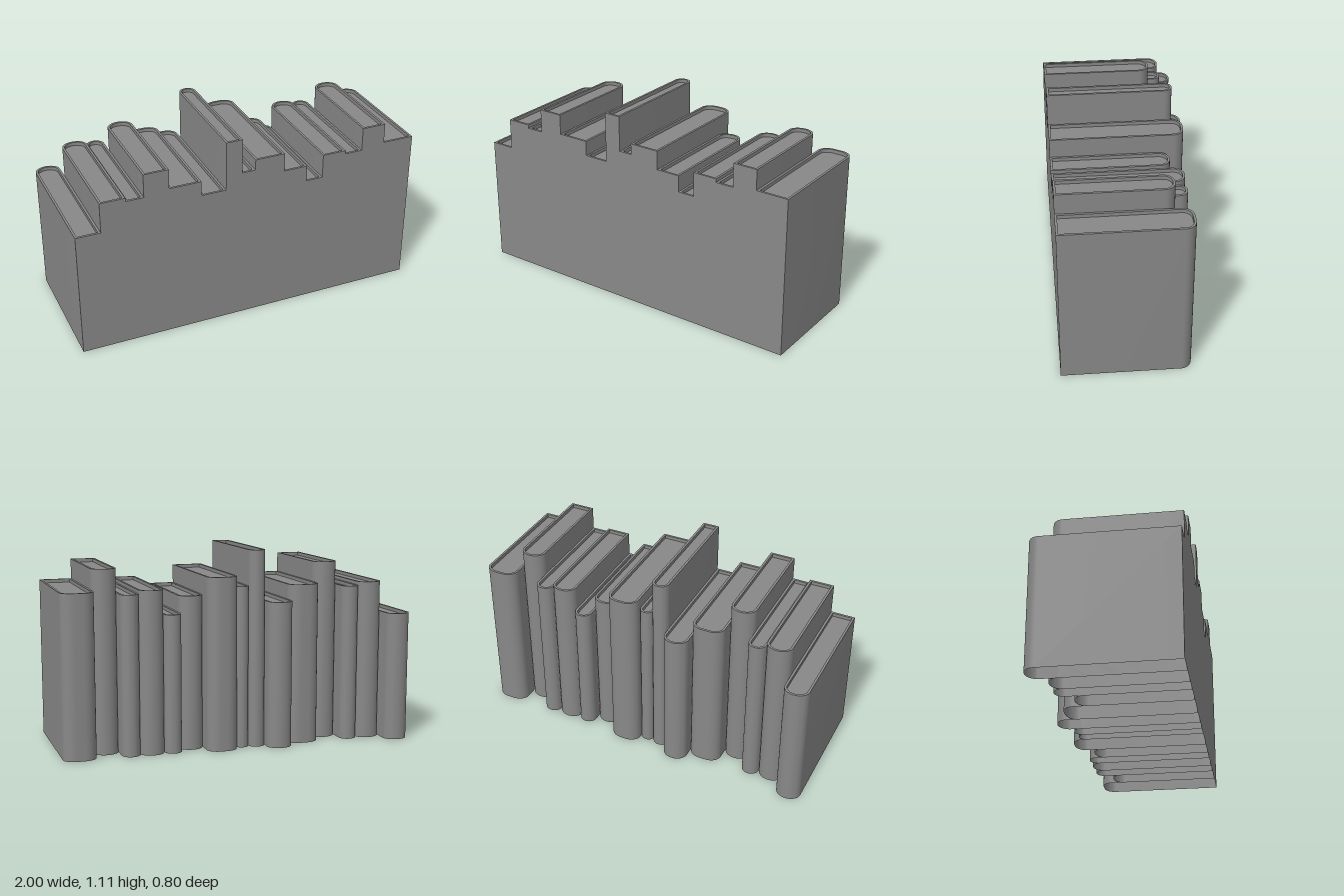
import * as THREE from 'three';
import { toCreasedNormals } from 'three/addons/utils/BufferGeometryUtils.js';

const FRONT = 0.4, RIM = 0.013, RECESS = 0.02, ARC = 10;

// Each book: right-hand edge x, height, z of the rounded spine
const BOOKS = [
  [-0.86, 0.737, -0.4], [-0.718, 0.913, -0.305], [-0.617, 0.893, -0.305],
  [-0.475, 1.028, -0.22], [-0.292, 0.913, -0.305], [-0.15, 0.828, -0.376],
  [-0.055, 1.114, -0.305], [0.022, 0.913, -0.295], [0.197, 0.975, -0.344],
  [0.335, 0.868, -0.255], [0.433, 0.775, -0.305], [0.572, 0.913, -0.305],
  [0.675, 0.893, -0.305], [0.815, 1.028, -0.22], [1, 0.913, -0.305],
];

// Plan of a book (x, -z), counter-clockwise, with the spine corners rounded
function outline(x0, x1, spineZ, inset) {
  const rx = Math.min(0.07, (x1 - x0) / 2 - 0.001), rz = Math.min(0.06, rx);
  const pts = [new THREE.Vector2(x0 + inset, -FRONT + inset), new THREE.Vector2(x1 - inset, -FRONT + inset)];
  for (const [cx, start] of [[x1 - rx, 0], [x0 + rx, Math.PI / 2]]) {
    for (let i = 0; i <= ARC; i++) {
      const a = start + (i / ARC) * Math.PI / 2;
      pts.push(new THREE.Vector2(cx + (rx - inset) * Math.cos(a), -spineZ - rz + (rz - inset) * Math.sin(a)));
    }
  }
  return pts;
}

// Joins successive rings { pts, y } with quads
function loft(rings) {
  const pos = [];
  const put = (ring, i) => pos.push(ring.pts[i].x, ring.y, -ring.pts[i].y);
  for (let k = 0; k < rings.length - 1; k++) {
    const a = rings[k], b = rings[k + 1], n = a.pts.length;
    for (let i = 0; i < n; i++) {
      const j = (i + 1) % n;
      put(a, i); put(a, j); put(b, j);
      put(a, i); put(b, j); put(b, i);
    }
  }
  const g = new THREE.BufferGeometry();
  g.setAttribute('position', new THREE.Float32BufferAttribute(pos, 3));
  return toCreasedNormals(g, Math.PI / 6);
}

export function createModel() {
  const group = new THREE.Group();
  group.name = 'bookRow';
  const material = new THREE.MeshStandardMaterial({ color: 0x888888, side: THREE.DoubleSide });

  let x0 = -1;
  BOOKS.forEach(([x1, height, spineZ], i) => {
    const book = new THREE.Group();
    book.name = `book${i + 1}`;
    const outer = outline(x0, x1, spineZ, 0);
    const inner = outline(x0, x1, spineZ, RIM);

    // Hollow cover, open below: outer wall, top rim, recess wall
    const cover = new THREE.Mesh(loft([
      { pts: outer, y: 0 },
      { pts: outer, y: height },
      { pts: inner, y: height },
      { pts: inner, y: height - RECESS },
    ]), material);
    cover.name = 'cover';

    // Page block top, sunk below the rim
    const pages = new THREE.Mesh(new THREE.ShapeGeometry(new THREE.Shape(inner)), material);
    pages.geometry.rotateX(-Math.PI / 2).translate(0, height - RECESS, 0);
    pages.name = 'pages';

    book.add(cover, pages);
    group.add(book);
    x0 = x1;
  });
  return group;
}
